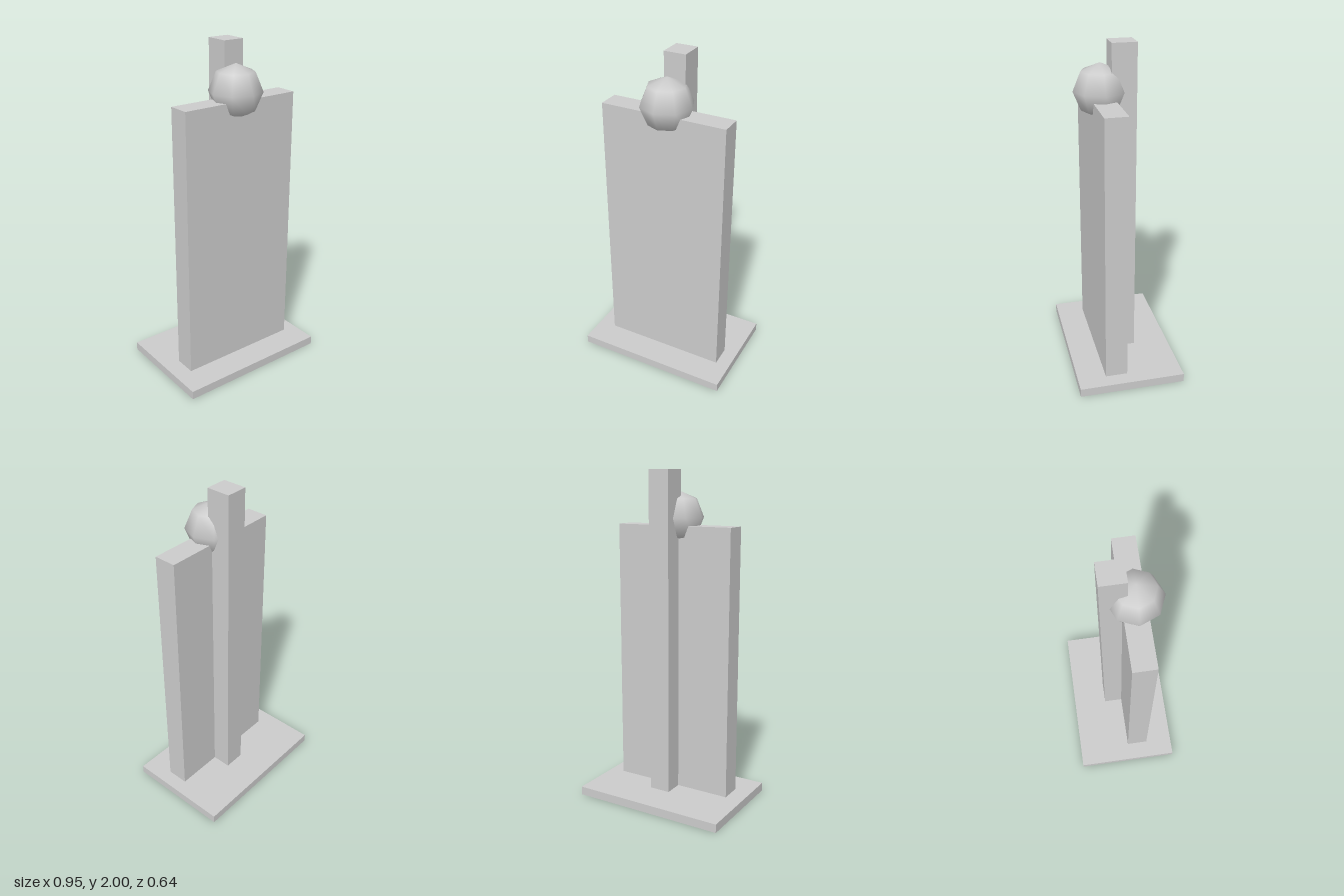
import * as THREE from 'three';

export function createModel() {
  const group = new THREE.Group();
  const material = new THREE.MeshStandardMaterial({ color: 0xcccccc });

  const add = (name, geometry, x, y, z) => {
    const mesh = new THREE.Mesh(geometry, material);
    mesh.name = name;
    mesh.position.set(x, y, z);
    group.add(mesh);
  };

  // Box given by its lower and upper limits on each axis
  const addBox = (name, [x0, x1], [y0, y1], [z0, z1]) =>
    add(name, new THREE.BoxGeometry(x1 - x0, y1 - y0, z1 - z0),
      (x0 + x1) / 2, (y0 + y1) / 2, (z0 + z1) / 2);

  const baseTop = 0.052;
  addBox('base', [-0.477, 0.477], [0, baseTop], [-0.32, 0.32]);
  addBox('panel', [-0.37, 0.39], [baseTop, 1.68], [0.015, 0.148]);
  addBox('post', [-0.033, 0.098], [baseTop, 2], [-0.103, 0.041]);

  // Coarse, smooth-shaded ball resting in the panel's top edge
  add('ball', new THREE.SphereGeometry(0.156, 8, 4), 0.01, 1.725, 0.088);

  return group;
}
